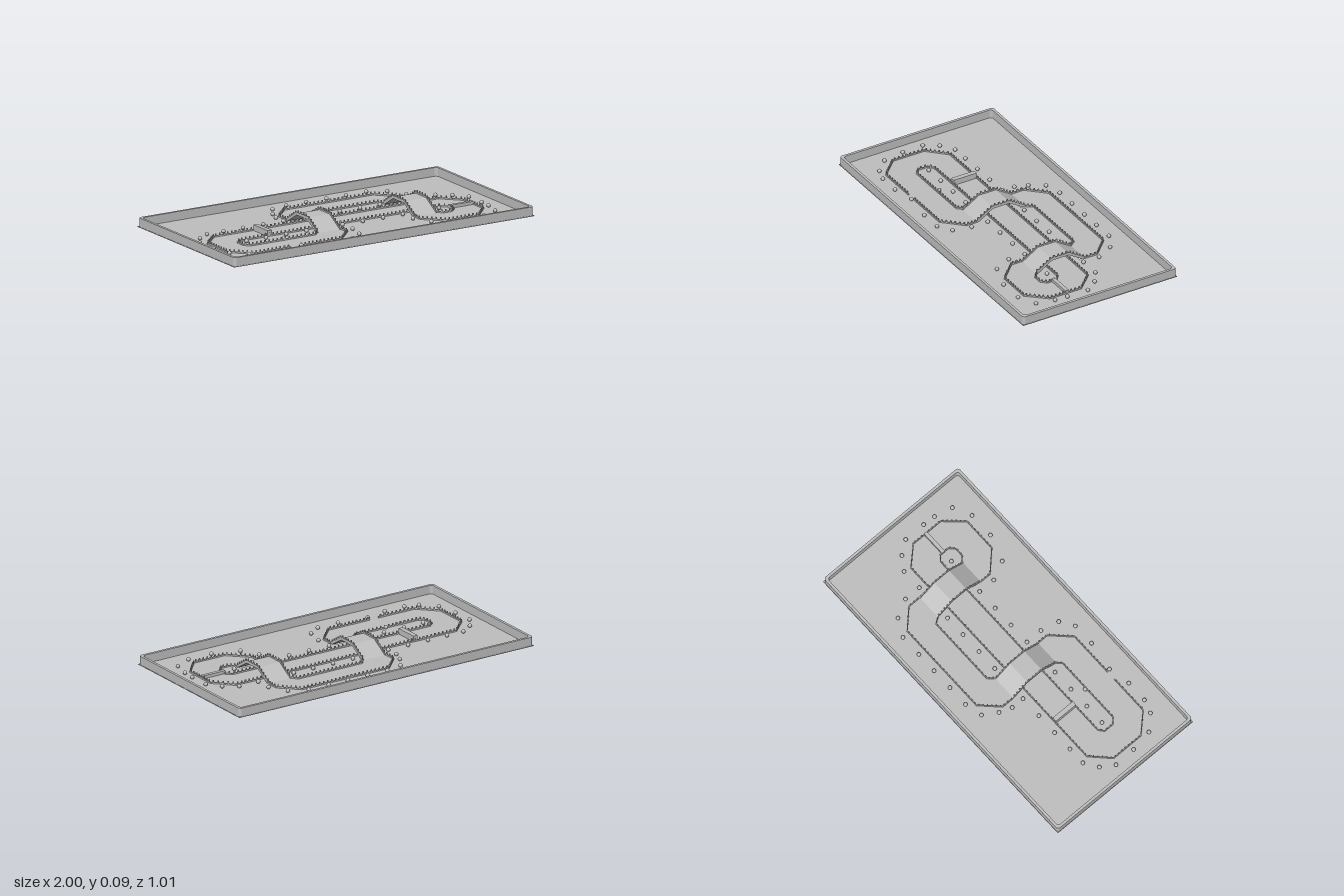
import * as THREE from 'three';
import { mergeGeometries } from 'three/addons/utils/BufferGeometryUtils.js';

const FLOOR = 0.004, DECK = 0.068, FLAT = 0.055, END = 0.16;

// Height of the bridge surface at a given z
function deckHeight(z) {
  const t = (Math.abs(z) - FLAT) / (END - FLAT);
  return DECK + (FLOOR - DECK) * Math.min(1, Math.max(0, t));
}

function roundedRect(target, hw, hd, r) {
  target.moveTo(-hw + r, -hd);
  target.lineTo(hw - r, -hd);
  target.absarc(hw - r, -hd + r, r, -Math.PI / 2, 0);
  target.absarc(hw - r, hd - r, r, 0, Math.PI / 2);
  target.absarc(-hw + r, hd - r, r, Math.PI / 2, Math.PI);
  target.absarc(-hw + r, -hd + r, r, Math.PI, Math.PI * 1.5);
  return target;
}

function rectPath(x0, x1, z0, z1) {
  return new THREE.Path([[x0, -z0], [x0, -z1], [x1, -z1], [x1, -z0], [x0, -z0]]
    .map(([x, y]) => new THREE.Vector2(x, y)));
}

// Extrude a plan shape upwards
function extrudeUp(shape, height, y) {
  const g = new THREE.ExtrudeGeometry(shape, { depth: height, bevelEnabled: false, curveSegments: 4 });
  return g.rotateX(-Math.PI / 2).translate(0, y, 0);
}

// Low rail with evenly spaced posts along a path of [x, z] points
function fenceGeometry(points, heightAt) {
  const parts = [];
  for (let i = 1; i < points.length; i++) {
    const [x0, z0] = points[i - 1], [x1, z1] = points[i];
    const a = new THREE.Vector3(x0, heightAt(z0), z0), b = new THREE.Vector3(x1, heightAt(z1), z1);
    const d = b.clone().sub(a), length = d.length();
    const yaw = -Math.atan2(d.z, d.x), pitch = Math.asin(d.y / length);
    const mid = a.clone().add(b).multiplyScalar(0.5);
    parts.push(new THREE.BoxGeometry(length + 0.004, 0.012, 0.006)
      .rotateZ(pitch).rotateY(yaw).translate(mid.x, mid.y + 0.002, mid.z));
    const n = Math.max(1, Math.round(length / 0.0265));
    for (let k = 0; k < n; k++) {
      const p = a.clone().lerp(b, (k + 0.5) / n);
      parts.push(new THREE.BoxGeometry(0.007, 0.02, 0.006).rotateY(yaw).translate(p.x, p.y + 0.01, p.z));
    }
  }
  return mergeGeometries(parts);
}

export function createModel() {
  const group = new THREE.Group();
  const grey = new THREE.MeshStandardMaterial({ color: 0xbebebe });
  grey.name = 'plain grey';
  const add = (name, geometry) => {
    const mesh = new THREE.Mesh(geometry, grey);
    mesh.name = name;
    group.add(mesh);
  };

  // Floor plate with mounting slots
  const bridges = [[-0.228, -0.072], [0.415, 0.57]];
  const plate = new THREE.Shape([[-1, -0.505], [1, -0.505], [1, 0.505], [-1, 0.505]]
    .map(([x, y]) => new THREE.Vector2(x, y)));
  plate.holes.push(rectPath(0.69, 0.825, 0.108, 0.125), rectPath(-0.495, -0.477, -0.07, 0.06));
  for (const [x0, x1] of bridges) {
    plate.holes.push(rectPath(x0 + 0.01, x1 - 0.01, 0.13, 0.148), rectPath(x0 + 0.01, x1 - 0.01, -0.148, -0.13));
  }
  add('floor', extrudeUp(plate, FLOOR, 0));

  // Tray wall
  const rim = roundedRect(new THREE.Shape(), 0.998, 0.503, 0.018);
  rim.holes.push(roundedRect(new THREE.Path(), 0.982, 0.487, 0.018));
  add('trayWall', extrudeUp(rim, 0.051, FLOOR));

  // Arched bridges with fences on both edges
  const profile = new THREE.Shape([
    [-END, FLOOR], [-END + 0.015, FLOOR], [-FLAT, DECK - 0.009], [FLAT, DECK - 0.009],
    [END - 0.015, FLOOR], [END, FLOOR], [FLAT, DECK], [-FLAT, DECK],
  ].map(([x, y]) => new THREE.Vector2(x, y)));
  for (const [x0, x1] of bridges) {
    const g = new THREE.ExtrudeGeometry(profile, { depth: x1 - x0, bevelEnabled: false });
    add('bridge', g.rotateY(Math.PI / 2).translate(x0, 0, 0));
    for (const x of [x0 + 0.003, x1 - 0.003]) {
      add('bridgeFence', fenceGeometry([[x, -END], [x, -FLAT], [x, FLAT], [x, END]], deckHeight));
    }
  }

  // Track fences on the floor
  const tracks = {
    leftOuterFence: [[-0.46, 0.34], [-0.18, 0.34], [-0.072, 0.23], [-0.072, 0.16]],
    mainOuterFence: [[-0.52, 0.34], [-0.763, 0.34], [-0.87, 0.23], [-0.87, 0.025], [-0.763, -0.08],
      [0.735, -0.08], [0.835, 0.025], [0.835, 0.23], [0.735, 0.34], [0.525, 0.34], [0.415, 0.23], [0.415, 0.16]],
    innerFence: [[-0.228, 0.155], [-0.255, 0.185], [-0.685, 0.185], [-0.715, 0.155], [-0.715, 0.095],
      [-0.685, 0.07], [0.655, 0.07], [0.685, 0.095], [0.685, 0.155], [0.655, 0.185], [0.6, 0.185], [0.57, 0.155]],
    backInnerFence: [[-0.072, -0.16], [-0.045, -0.195], [0.39, -0.195], [0.415, -0.16]],
    backOuterFence: [[0.57, -0.16], [0.57, -0.24], [0.465, -0.345], [-0.125, -0.345], [-0.228, -0.24], [-0.228, -0.16]],
  };
  for (const [name, points] of Object.entries(tracks)) add(name, fenceGeometry(points, () => FLOOR));

  // Start gate across the track and the low divider
  add('startGate', new THREE.BoxGeometry(0.028, 0.034, 0.15).translate(-0.486, FLOOR + 0.017, -0.005));
  add('divider', new THREE.BoxGeometry(0.155, 0.018, 0.022).translate(0.758, FLOOR + 0.009, 0.116));

  // Round markers beside the track, as rows of x positions for each z
  const rows = [
    [-0.39, [-0.083, 0.05, 0.185, 0.315, 0.45]],
    [-0.365, [-0.19]], [-0.335, [0.555]], [-0.28, [-0.243]], [-0.228, [0.613]], [-0.205, [-0.27]],
    [-0.125, [-0.78, -0.67, -0.54, -0.405, -0.27, -0.03, 0.105, 0.24, 0.372, 0.613, 0.742]],
    [-0.072, [-0.86, 0.822]], [0.008, [-0.912, 0.88]], [0.142, [-0.908, 0.88]],
    [0.115, [-0.67, -0.54, -0.405, -0.27, -0.03, 0.105, 0.24, 0.372, 0.613]],
    [0.175, [-0.458]], [0.22, [-0.03, 0.372, 0.876]], [0.275, [-0.886]],
    [0.33, [-0.056, 0.425, 0.85]], [0.357, [-0.806, -0.458]],
    [0.383, [-0.725, -0.592, -0.275, -0.137, 0.586, 0.742]],
  ];
  const markers = [];
  for (const [z, xs] of rows) {
    for (const x of xs) markers.push(new THREE.SphereGeometry(0.012, 12, 8).translate(x, FLOOR + 0.011, z));
  }
  add('trackMarkers', mergeGeometries(markers));

  return group;
}
